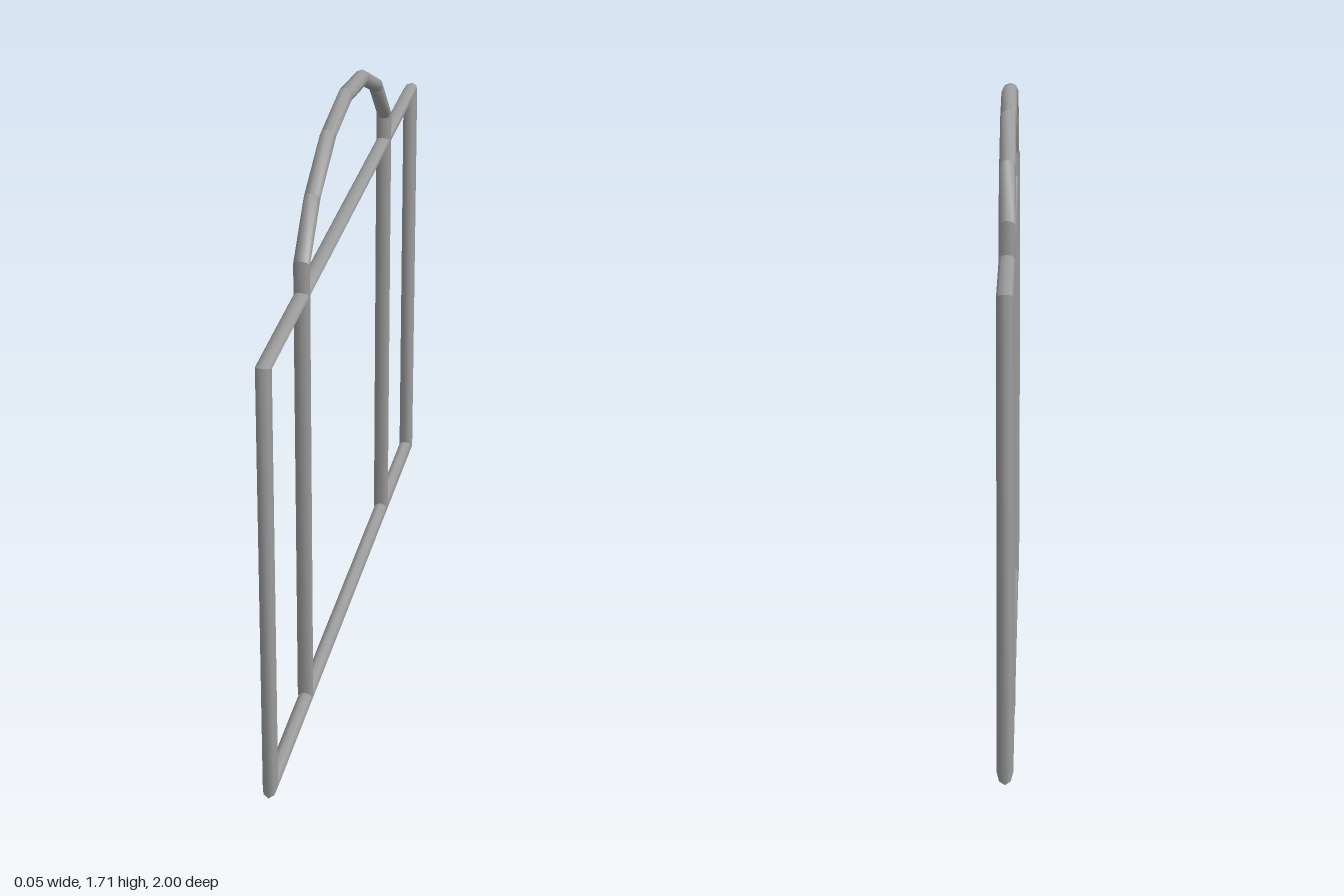
import * as THREE from 'three';

const SIDES = 8;

// Mitred tube in the YZ plane. Each corner is [outerZ, outerY, innerZ, innerY].
// Every run has its own vertices, so it is smooth around but sharp at the corners.
function mitredTube(corners, radiusX, closed) {
  const positions = [], indices = [];
  const addRing = ([oz, oy, iz, iy]) => {
    for (let j = 0; j < SIDES; j++) {
      const a = (j / SIDES) * Math.PI * 2;
      const c = Math.cos(a) / 2;
      positions.push(
        radiusX * Math.sin(a),
        (oy + iy) / 2 + (oy - iy) * c,
        (oz + iz) / 2 + (oz - iz) * c
      );
    }
  };
  const runs = closed ? corners.length : corners.length - 1;
  for (let i = 0; i < runs; i++) {
    const base = positions.length / 3;
    addRing(corners[i]);
    addRing(corners[(i + 1) % corners.length]);
    for (let j = 0; j < SIDES; j++) {
      const a = base + j, b = base + ((j + 1) % SIDES);
      indices.push(a, b, a + SIDES, b, b + SIDES, a + SIDES);
    }
  }
  const geometry = new THREE.BufferGeometry();
  geometry.setAttribute('position', new THREE.Float32BufferAttribute(positions, 3));
  geometry.setIndex(indices);
  geometry.computeVertexNormals();
  return geometry;
}

export function createModel() {
  const group = new THREE.Group();
  const steel = new THREE.MeshStandardMaterial({ color: 0x9c9c9c });
  steel.name = 'grey steel';
  steel.side = THREE.DoubleSide;

  const add = (name, geometry) => {
    const mesh = new THREE.Mesh(geometry, steel);
    mesh.name = name;
    group.add(mesh);
  };

  // Rectangular outer frame: wide sides and base, slim top rail
  add('outerFrame', mitredTube([
    [1, 0, 0.945, 0.05],
    [1, 1.337, 0.945, 1.312],
    [-1, 1.337, -0.945, 1.312],
    [-1, 0, -0.945, 0.05],
  ], 0.022, true));

  // Two inner posts joined by a faceted arch, mirrored about z = 0
  const half = [
    [0.56, 0.03, 0.53, 0.03],
    [0.56, 1.43, 0.533, 1.4],
    [0.43, 1.57, 0.405, 1.535],
    [0.23, 1.672, 0.215, 1.63],
  ];
  const mirrored = half.map(([oz, oy, iz, iy]) => [-oz, oy, -iz, iy]).reverse();
  add('archAndPosts', mitredTube([...half, [0, 1.705, 0, 1.66], ...mirrored], 0.023, false));

  return group;
}
